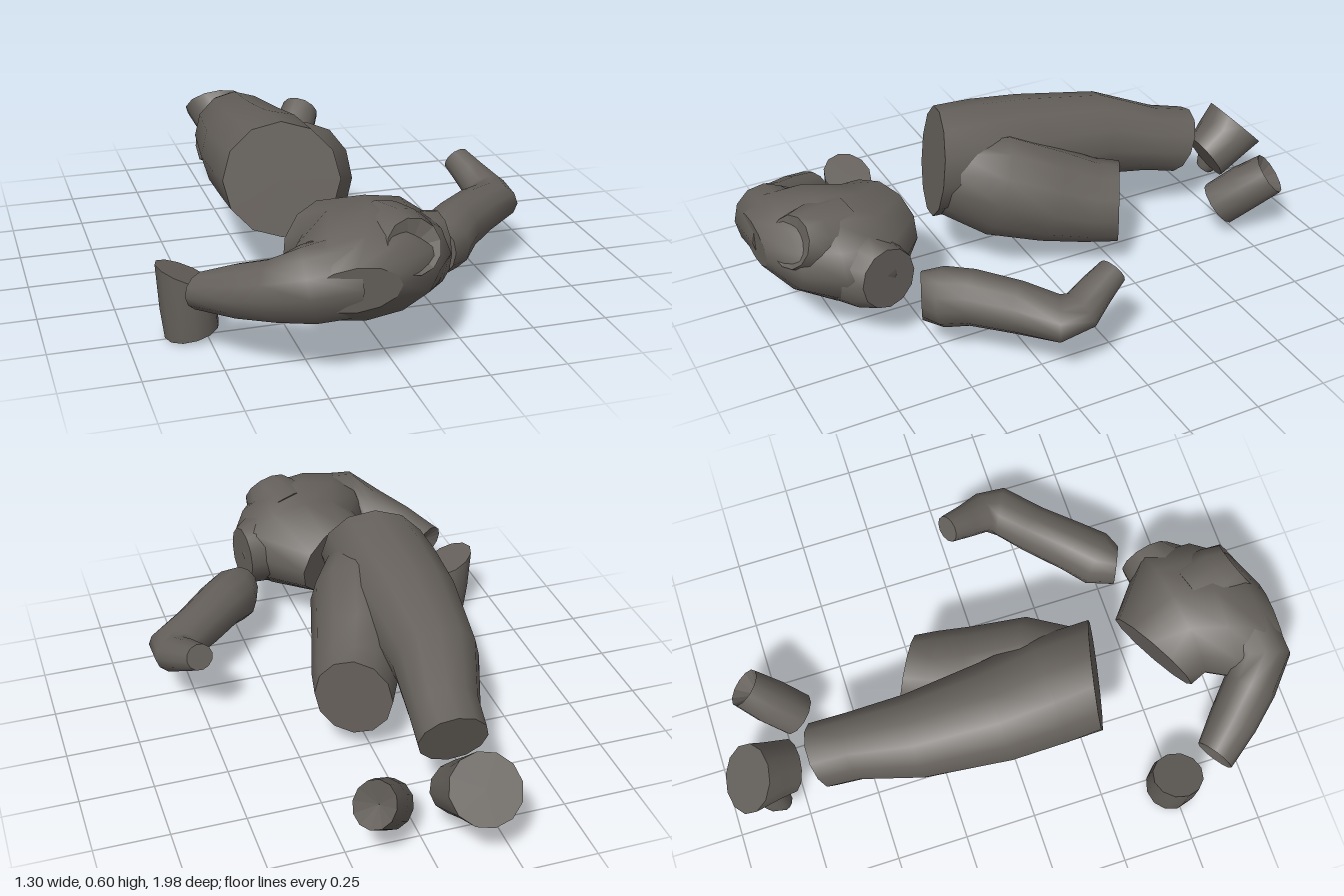
import * as THREE from 'three';

const SIDES = 12;
const stone = new THREE.MeshStandardMaterial({ color: 0x65605b });
stone.name = 'darkStone';

// Smooth limb through sections [x, y, z, halfWidth, halfHeight, planeNormal?],
// closed by sharp-edged broken faces; dents push the first/last face centre inwards.
function limb(name, sections, dents = [0, 0]) {
  const centres = sections.map((s) => new THREE.Vector3(s[0], s[1], s[2]));
  const last = sections.length - 1;
  const normals = sections.map((s, i) => (s[5]
    ? new THREE.Vector3(...s[5])
    : centres[Math.min(i + 1, last)].clone().sub(centres[Math.max(i - 1, 0)])).normalize());

  const rings = sections.map((s, i) => {
    const n = normals[i];
    const u = Math.abs(n.y) > 0.88
      ? new THREE.Vector3(1, 0, 0).addScaledVector(n, -n.x).normalize()
      : new THREE.Vector3(0, 1, 0).cross(n).normalize();
    const v = n.clone().cross(u);
    return Array.from({ length: SIDES }, (_, j) => {
      const t = (j / SIDES) * Math.PI * 2;
      return centres[i].clone()
        .addScaledVector(u, s[3] * Math.cos(t))
        .addScaledVector(v, s[4] * Math.sin(t));
    });
  });

  // Smooth side wall
  const side = new THREE.BufferGeometry().setFromPoints(rings.flat());
  const index = [];
  for (let i = 0; i < last; i++) {
    for (let j = 0; j < SIDES; j++) {
      const k = (j + 1) % SIDES;
      const a = i * SIDES + j, b = i * SIDES + k;
      index.push(a, b, b + SIDES, a, b + SIDES, a + SIDES);
    }
  }
  side.setIndex(index);
  side.computeVertexNormals();

  // Broken end faces
  const points = [];
  [0, last].forEach((i, end) => {
    const centre = centres[i].clone().addScaledVector(normals[i], end ? -dents[1] : dents[0]);
    for (let j = 0; j < SIDES; j++) {
      const p = rings[i][j], q = rings[i][(j + 1) % SIDES];
      points.push(centre, ...(end ? [p, q] : [q, p]));
    }
  });
  const faces = new THREE.BufferGeometry().setFromPoints(points);
  faces.computeVertexNormals();

  const group = new THREE.Group();
  group.name = name;
  const wall = new THREE.Mesh(side, stone);
  wall.name = name + 'Surface';
  const caps = new THREE.Mesh(faces, stone);
  caps.name = name + 'BrokenFaces';
  group.add(wall, caps);
  return group;
}

function piece(name, ...parts) {
  const group = new THREE.Group();
  group.name = name;
  group.add(...parts);
  return group;
}

export function createModel() {
  const model = new THREE.Group();
  model.name = 'brokenStatue';

  // Hips with the long right leg and the left thigh stump
  model.add(piece('lowerBody',
    limb('waistAndRightLeg', [
      [-0.2, 0.42, 0.305, 0.19, 0.19, [0.23, -0.15, -0.96]],
      [-0.2, 0.41, 0.13, 0.19, 0.185],
      [-0.21, 0.395, -0.05, 0.178, 0.17],
      [-0.2, 0.365, -0.33, 0.147, 0.15],
      [-0.155, 0.315, -0.53, 0.118, 0.12],
      [-0.14, 0.285, -0.65, 0.115, 0.122, [0.1, -0.36, -0.93]],
    ]),
    limb('leftThigh', [
      [-0.13, 0.39, 0.28, 0.11, 0.14],
      [-0.07, 0.35, 0.13, 0.155, 0.185],
      [-0.02, 0.285, -0.05, 0.157, 0.17],
      [0.03, 0.25, -0.18, 0.147, 0.15],
      [0.068, 0.237, -0.28, 0.133, 0.145, [0.49, 0, -0.87]],
    ]),
  ));

  // Chest with neck stump, left shoulder stump and right arm
  model.add(piece('upperBody',
    limb('chest', [
      [-0.135, 0.28, 0.55, 0.175, 0.15, [0.48, 0.2, 0.86]],
      [-0.03, 0.3, 0.655, 0.24, 0.178, [0.15, 0.1, 1]],
      [-0.06, 0.315, 0.78, 0.26, 0.175, [0, 0, 1]],
      [-0.11, 0.325, 0.9, 0.23, 0.135, [0, 0, 1]],
      [-0.16, 0.325, 0.97, 0.14, 0.07, [0, 0, 1]],
    ]),
    limb('neck', [
      [-0.01, 0.36, 0.74, 0.14, 0.13],
      [0.02, 0.39, 0.84, 0.12, 0.11],
      [0.035, 0.41, 0.905, 0.095, 0.085, [0.25, 0.45, 0.85]],
    ], [0, 0.03]),
    limb('leftShoulder', [
      [0.02, 0.29, 0.73, 0.15, 0.14],
      [0.13, 0.29, 0.68, 0.125, 0.13],
      [0.205, 0.29, 0.645, 0.095, 0.11, [1, 0, -0.15]],
    ]),
    limb('rightArm', [
      [-0.16, 0.325, 0.86, 0.12, 0.13],
      [-0.28, 0.32, 0.88, 0.11, 0.118],
      [-0.36, 0.285, 0.82, 0.092, 0.095],
      [-0.45, 0.255, 0.73, 0.085, 0.082],
      [-0.54, 0.225, 0.633, 0.07, 0.058, [-0.55, -0.1, -0.83]],
    ], [0, 0.02]),
  ));

  // Right forearm fragment
  model.add(limb('rightForearm', [
    [-0.545, 0.025, 0.49, 0.088, 0.085, [-0.2, 1, 0]],
    [-0.555, 0.12, 0.49, 0.09, 0.088],
    [-0.565, 0.22, 0.49, 0.098, 0.085, [0.45, 1, 0]],
  ]));

  // Bent left arm
  model.add(limb('leftArm', [
    [0.24, 0.215, 0.55, 0.065, 0.085, [0.4, 0, -0.9]],
    [0.285, 0.22, 0.49, 0.096, 0.1],
    [0.35, 0.235, 0.42, 0.09, 0.092],
    [0.46, 0.23, 0.31, 0.085, 0.085],
    [0.565, 0.225, 0.22, 0.092, 0.07, [0.45, 0, -0.9]],
    [0.575, 0.24, 0.15, 0.074, 0.062],
    [0.545, 0.275, 0.08, 0.06, 0.055],
    [0.52, 0.31, 0.005, 0.05, 0.045],
  ]));

  // Right ankle fragment with a toe lump
  model.add(piece('rightFoot',
    limb('rightAnkle', [
      [-0.145, 0.285, -0.91, 0.12, 0.118, [0, -0.7, 0.7]],
      [-0.13, 0.24, -0.84, 0.105, 0.1],
      [-0.115, 0.19, -0.765, 0.095, 0.085, [0, -0.5, 0.87]],
    ]),
    limb('rightToe', [
      [-0.17, 0.2, -0.87, 0.06, 0.06],
      [-0.19, 0.13, -0.84, 0.055, 0.05],
      [-0.2, 0.085, -0.82, 0.035, 0.03],
    ]),
  ));

  // Left shin fragment
  model.add(limb('leftShin', [
    [0.085, 0.115, -0.695, 0.078, 0.083],
    [0.135, 0.19, -0.77, 0.08, 0.083],
    [0.185, 0.255, -0.84, 0.07, 0.078],
  ], [0, 0.06]));

  return model;
}
